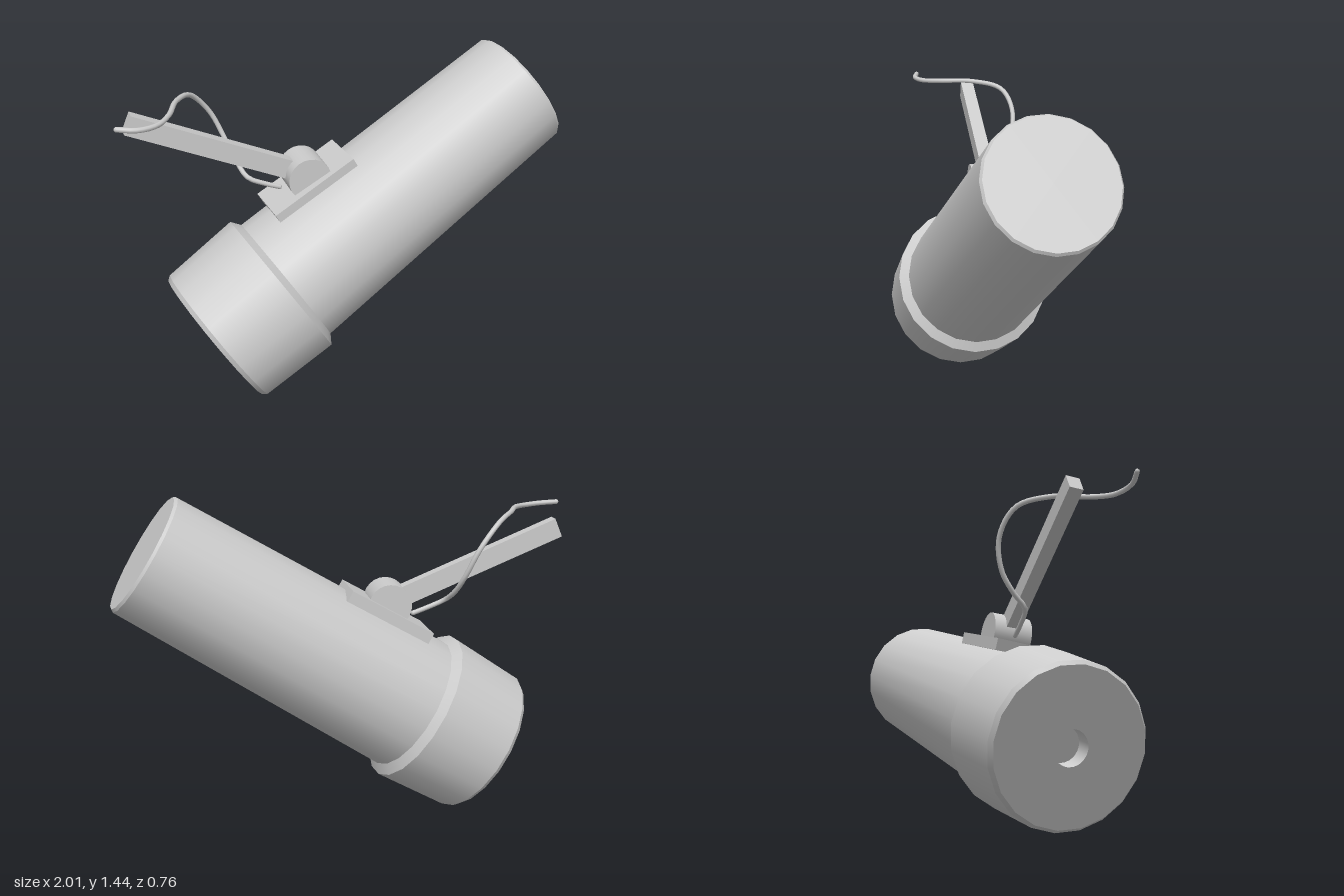
import * as THREE from 'three';
import { mergeGeometries } from 'three/addons/utils/BufferGeometryUtils.js';

const material = new THREE.MeshStandardMaterial({ color: 0xcccccc });

function addMesh(parent, name, geometry, position = [0, 0, 0]) {
  const mesh = new THREE.Mesh(geometry, material);
  mesh.name = name;
  mesh.position.set(...position);
  parent.add(mesh);
  return mesh;
}

// Turned solid: one lathe per profile segment, so every profile corner stays sharp
function turned(profile, sides) {
  const bands = [];
  for (let i = 0; i + 1 < profile.length; i++) {
    const pair = [profile[i], profile[i + 1]].map(([r, y]) => new THREE.Vector2(r, y));
    bands.push(new THREE.LatheGeometry(pair, sides));
  }
  return mergeGeometries(bands);
}

export function createModel() {
  const model = new THREE.Group();
  model.name = 'mountedSpotlight';

  // Tilted housing, running from the wide head to the narrow rear
  const headEnd = new THREE.Vector3(-0.635, 0.285, 0.045);
  const rearEnd = new THREE.Vector3(0.855, 1.23, -0.112);
  const axis = rearEnd.clone().sub(headEnd);
  const length = axis.length();
  const housing = new THREE.Group();
  housing.name = 'housing';
  housing.position.copy(headEnd);
  housing.quaternion.setFromUnitVectors(new THREE.Vector3(0, 1, 0), axis.normalize());
  model.add(housing);

  // Head with a small central opening and a sloped shoulder
  addMesh(housing, 'head', turned([
    [0, 0.08], [0.075, 0.08], [0.075, 0], [0.325, 0],
    [0.34, 0.02], [0.354, 0.371], [0.31, 0.402],
  ], 20));
  // Tapering barrel with a bevelled rear cap
  addMesh(housing, 'barrel', turned([
    [0.313, 0.395], [0.273, length - 0.012], [0.264, length], [0, length],
  ], 20));

  // Mounting plate lying along the barrel
  const plate = addMesh(model, 'mountingPlate',
    new THREE.BoxGeometry(0.41, 0.05, 0.245), [-0.175, 0.935, -0.043]);
  plate.rotation.set(0, 0.07, Math.atan2(0.2, 0.35), 'YZX');

  // Pivot drum
  const pivot = addMesh(model, 'pivot',
    new THREE.CylinderGeometry(0.094, 0.094, 0.17, 24), [-0.186, 0.976, -0.042]);
  pivot.rotation.x = Math.PI / 2;

  // Flat arm from the pivot to its free end
  const armStart = new THREE.Vector2(-0.23, 0.997);
  const armEnd = new THREE.Vector2(-0.928, 1.293);
  const armMiddle = armStart.clone().add(armEnd).multiplyScalar(0.5);
  const arm = addMesh(model, 'arm',
    new THREE.BoxGeometry(armStart.distanceTo(armEnd), 0.084, 0.06),
    [armMiddle.x, armMiddle.y, -0.045]);
  arm.rotation.z = Math.atan2(armStart.y - armEnd.y, armStart.x - armEnd.x);

  // Loose cable curling round the arm, closed with small ends
  const path = [
    [-0.3, 0.925, -0.045], [-0.36, 0.947, -0.045], [-0.435, 0.982, -0.055],
    [-0.465, 1.03, -0.12], [-0.495, 1.11, -0.185], [-0.55, 1.235, -0.215],
    [-0.635, 1.335, -0.175], [-0.72, 1.363, -0.05], [-0.78, 1.36, 0.1],
    [-0.84, 1.355, 0.18], [-0.92, 1.358, 0.215], [-0.997, 1.365, 0.2],
  ].map((p) => new THREE.Vector3(...p));
  addMesh(model, 'cable',
    new THREE.TubeGeometry(new THREE.CatmullRomCurve3(path), 48, 0.011, 8));
  for (const end of [path[0], path[path.length - 1]]) {
    addMesh(model, 'cableEnd', new THREE.SphereGeometry(0.011, 8, 6), end.toArray());
  }

  return model;
}
